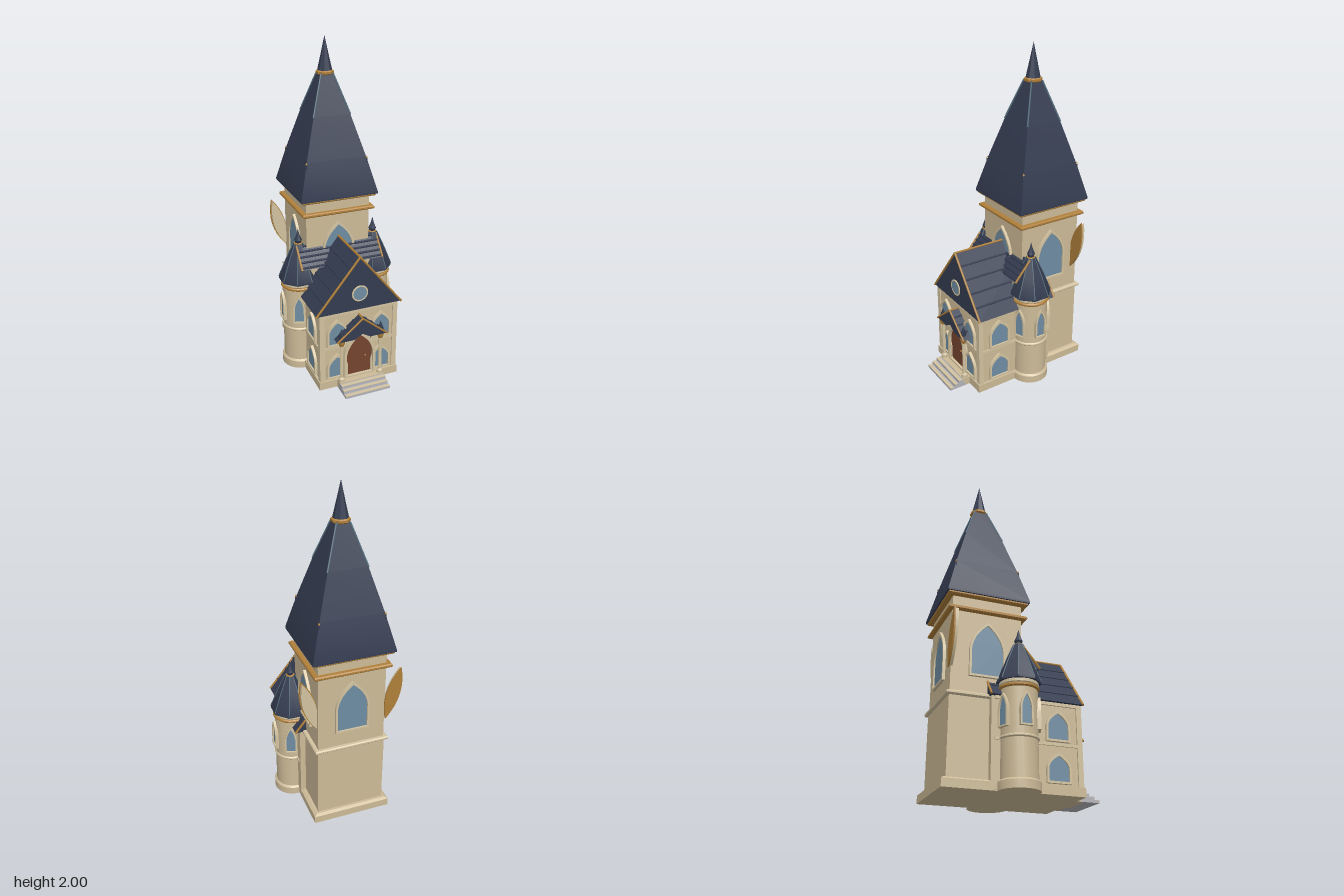
import * as THREE from 'three';
import { toCreasedNormals } from 'three/addons/utils/BufferGeometryUtils.js';

const mat = (name, color) => Object.assign(new THREE.MeshStandardMaterial({ color }), { name });
const wall = mat('sandstone', 0xcdbb98);
const trim = mat('pale stone trim', 0xd3c3a0);
const slate = mat('slate roof', 0x343c50);
const gold = mat('gold trim', 0xb0803a);
const glass = mat('window glass', 0x6f8da3);
const wood = mat('door wood', 0x74442f);
const lead = mat('lead hips', 0x58717f);
const grey = mat('grey stone', 0xb4b4ba);

const TZ = -0.217; // tower centre

function add(parent, name, geo, material, x = 0, y = 0, z = 0) {
  const m = new THREE.Mesh(geo, material);
  m.name = name;
  m.position.set(x, y, z);
  parent.add(m);
  return m;
}
const box = (p, name, m, w, h, d, x, y, z) => add(p, name, new THREE.BoxGeometry(w, h, d), m, x, y, z);

// n-sided turned solid; radii are measured to the flats, profile runs bottom to top
function turned(p, name, m, n, pts, x = 0, z = 0) {
  const k = n < 12 ? 1 / Math.cos(Math.PI / n) : 1;
  const g = new THREE.LatheGeometry(pts.map(([r, y]) => new THREE.Vector2(r * k, y)), n, Math.PI / n);
  return add(p, name, toCreasedNormals(g, 0.5), m, x, 0, z);
}
const ring = (r, y0, y1, b = 0.006) => [[0, y0], [r - b, y0], [r, y0 + b], [r, y1 - b], [r - b, y1], [0, y1]];

function beam(p, name, m, a, b, r) {
  const A = new THREE.Vector3(...a), B = new THREE.Vector3(...b), d = B.clone().sub(A);
  const g = new THREE.CylinderGeometry(r, r, d.length(), 6);
  const mesh = add(p, name, g, m);
  mesh.position.copy(A).add(B).multiplyScalar(0.5);
  mesh.quaternion.setFromUnitVectors(new THREE.Vector3(0, 1, 0), d.normalize());
  return mesh;
}

const polygon = (pts) => new THREE.Shape(pts.map(([x, y]) => new THREE.Vector2(x, y)));
const extrude = (shape, depth) => toCreasedNormals(
  new THREE.ExtrudeGeometry(shape, { depth, bevelEnabled: false, curveSegments: 8 }), 0.5);

// Pointed arch outline
function arch(w, h, y0 = 0, spring = h * 0.5) {
  const s = new THREE.Shape();
  s.moveTo(-w, y0);
  s.lineTo(w, y0);
  s.lineTo(w, spring);
  s.quadraticCurveTo(w * 0.9, spring + (h - spring) * 0.55, 0, h);
  s.quadraticCurveTo(-w * 0.9, spring + (h - spring) * 0.55, -w, spring);
  s.closePath();
  return s;
}

// Framed arched opening, facing angle a around y
function opening(p, name, x, y, z, a, w, h, t = 0.012, panel = glass, depth = 0.016) {
  const g = new THREE.Group();
  g.name = name;
  const inner = arch(w - t, h - 1.6 * t, t, h * 0.5);
  const frame = arch(w, h);
  frame.holes.push(inner);
  add(g, 'frame', extrude(frame, depth + 0.01), trim, 0, 0, -0.01);
  add(g, 'panel', extrude(inner, 0.007), panel);
  g.position.set(x, y, z);
  g.rotation.y = a;
  p.add(g);
  return g;
}

// Solid gable roof along z with battens, gold ridge and gold verges
function gableRoof(p, name, half, y0, y1, z0, z1, battens, r, notch = []) {
  const g = new THREE.Group();
  g.name = name;
  add(g, 'roofBody', extrude(polygon([[-half, y0], ...notch, [half, y0], [0, y1]]), z1 - z0), slate, 0, 0, z0);
  for (const s of [-1, 1]) {
    for (let i = 1; i <= battens; i++) {
      const t = i / (battens + 1), x = s * half * t, y = y1 + (y0 - y1) * t;
      beam(g, 'batten', slate, [x, y, z0], [x, y, z1], r * 0.9);
    }
    for (const z of [z0, z1]) beam(g, 'verge', gold, [0, y1, z], [s * half, y0, z], r);
  }
  beam(g, 'ridge', gold, [0, y1, z0], [0, y1, z1], r);
  p.add(g);
}

function buildTower(root) {
  const g = new THREE.Group();
  g.name = 'tower';
  turned(g, 'plinth', wall, 4, [[0, 0], [0.238, 0], [0.238, 0.045], [0.222, 0.055], [0, 0.055]], 0, TZ);
  turned(g, 'walls', wall, 4, [[0, 0.02], [0.207, 0.02], [0.207, 0.5], [0.203, 0.5], [0.203, 1.08], [0, 1.08]], 0, TZ);
  turned(g, 'stringCourse', trim, 4, ring(0.225, 0.488, 0.51), 0, TZ);
  turned(g, 'cornice', gold, 4, ring(0.23, 0.983, 1.005), 0, TZ);
  turned(g, 'eaveMoulding', gold, 4, ring(0.235, 1.07, 1.09), 0, TZ);
  turned(g, 'roof', slate, 4, [[0, 1.085], [0.243, 1.085], [0.243, 1.097], [0.187, 1.31], [0.115, 1.555], [0.036, 1.79]], 0, TZ);
  turned(g, 'spireRing', gold, 8, ring(0.05, 1.778, 1.802), 0, TZ);
  turned(g, 'spire', slate, 8, [[0, 1.795], [0.042, 1.795], [0.02, 1.9], [0, 2]], 0, TZ);
  // Windows on all four sides
  for (let i = 0; i < 4; i++) {
    const a = i * Math.PI / 2;
    opening(g, 'towerWindow', Math.sin(a) * 0.203, 0.605, TZ + Math.cos(a) * 0.203, a, 0.102, 0.325);
  }
  // Hips and corner pinnacles
  for (const sx of [-1, 1]) for (const sz of [-1, 1]) {
    beam(g, 'hip', lead, [sx * 0.038, 1.785, TZ + sz * 0.038], [sx * 0.116, 1.553, TZ + sz * 0.116], 0.005);
    const x = sx * 0.19, z = TZ + sz * 0.19;
    turned(g, 'pinnacle', slate, 6, [[0, 1.11], [0.016, 1.13], [0.024, 1.165], [0.014, 1.21], [0.004, 1.3]], x, z);
    turned(g, 'pinnacleTip', gold, 6, [[0, 1.295], [0.006, 1.302], [0, 1.315]], x, z);
  }
  // Leaf-shaped fins tilted out at the back corners
  for (const s of [-1, 1]) {
    const lens = (w, h) => {
      const l = new THREE.Shape();
      l.moveTo(0, -h);
      l.quadraticCurveTo(w * 2, 0, 0, h);
      l.quadraticCurveTo(-w * 2, 0, 0, -h);
      return extrude(l, 0.009);
    };
    const fin = new THREE.Group();
    fin.name = 'cornerFin';
    add(fin, 'finEdge', lens(0.043, 0.168), gold, 0, 0, s > 0 ? 0.006 : -0.015);
    const face = add(fin, 'finFace', lens(0.037, 0.158), trim, 0, 0, -0.012);
    face.scale.z = 2.6;
    fin.position.set(s * 0.247, 0.8, s > 0 ? -0.393 : -0.422);
    fin.rotation.z = -s * 0.26;
    g.add(fin);
  }
  root.add(g);
}

function buildTurret(root, s) {
  const g = new THREE.Group();
  g.name = s > 0 ? 'leftTurret' : 'rightTurret';
  const x = s * 0.245, z = -0.048;
  turned(g, 'base', wall, 24, [[0, 0], [0.115, 0], [0.115, 0.045], [0.105, 0.055], [0, 0.055]], x, z);
  turned(g, 'shaft', wall, 24, [[0, 0.02], [0.102, 0.02], [0.102, 0.58], [0, 0.58]], x, z);
  turned(g, 'band', trim, 24, ring(0.109, 0.262, 0.28), x, z);
  turned(g, 'cornice', gold, 24, ring(0.112, 0.535, 0.555), x, z);
  turned(g, 'eave', trim, 24, ring(0.108, 0.555, 0.582), x, z);
  turned(g, 'roof', slate, 8, [[0, 0.578], [0.114, 0.578], [0.114, 0.588], [0.072, 0.7], [0.026, 0.81], [0, 0.81]], x, z);
  turned(g, 'finialRing', gold, 8, ring(0.025, 0.803, 0.815, 0.003), x, z);
  turned(g, 'finial', slate, 8, [[0, 0.81], [0.014, 0.81], [0.022, 0.832], [0.01, 0.862], [0, 0.905]], x, z);
  for (let i = 0; i < 8; i++) {
    const a = (i + 0.5) * Math.PI / 4, at = (r, y) => [x + Math.sin(a) * r, y, z + Math.cos(a) * r];
    beam(g, 'hip', lead, at(0.123, 0.588), at(0.078, 0.7), 0.003);
    beam(g, 'hip', lead, at(0.078, 0.7), at(0.028, 0.81), 0.003);
  }
  for (const a of [0.35, Math.PI / 2, Math.PI - 0.35]) {
    opening(g, 'turretWindow', x + s * Math.sin(a) * 0.1, 0.32, z + Math.cos(a) * 0.1, s * a, 0.036, 0.185, 0.009);
  }
  root.add(g);
}

function buildHall(root) {
  const g = new THREE.Group();
  g.name = 'hall';
  box(g, 'plinth', wall, 0.51, 0.05, 0.42, 0, 0.025, 0.115);
  box(g, 'walls', wall, 0.48, 0.5, 0.51, 0, 0.255, 0.055);
  box(g, 'band', trim, 0.495, 0.016, 0.5, 0, 0.268, 0.068);
  box(g, 'wallTop', trim, 0.5, 0.02, 0.5, 0, 0.492, 0.068);
  for (const s of [-1, 1]) {
    box(g, 'cornerPier', trim, 0.03, 0.48, 0.03, s * 0.234, 0.25, 0.303);
    for (const [y, h] of [[0.06, 0.165], [0.282, 0.175]]) {
      opening(g, 'frontWindow', s * 0.14, y, 0.31, 0, 0.065, h);
      opening(g, 'sideWindow', s * 0.24, y, 0.175, s * Math.PI / 2, 0.07, h);
    }
  }
  gableRoof(g, 'hallRoof', 0.27, 0.5, 0.835, -0.21, 0.322, 4, 0.007);
  // Round gable window
  const rim = add(g, 'roundWindowFrame', new THREE.TorusGeometry(0.046, 0.006, 6, 20), trim, 0, 0.605, 0.324);
  rim.scale.z = 0.8;
  add(g, 'roundWindowGlass', new THREE.CylinderGeometry(0.046, 0.046, 0.008, 20), glass, 0, 0.605, 0.323).rotation.x = Math.PI / 2;
  // Lean-to roof between hall and tower
  box(g, 'leanToWall', wall, 0.46, 0.19, 0.06, 0, 0.59, 0.0);
  const lean = add(g, 'leanToRoof', extrude(polygon([[0.03, 0.8], [-0.07, 0.68], [-0.04, 0.67], [0.03, 0.67]]), 0.52), slate, -0.26);
  lean.rotation.y = Math.PI / 2;
  for (let i = 0; i < 5; i++) {
    const y = 0.69 + i * 0.026, z = 0.07 - (y - 0.68) * 0.83;
    beam(g, 'leanToBatten', slate, [-0.26, y, z], [0.26, y, z], 0.007);
  }
  for (const s of [-1, 1]) beam(g, 'leanToVerge', gold, [s * 0.262, 0.802, -0.03], [s * 0.262, 0.68, 0.072], 0.007);
  root.add(g);
}

function buildPorch(root) {
  const g = new THREE.Group();
  g.name = 'porch';
  gableRoof(g, 'porchRoof', 0.16, 0.33, 0.462, 0.295, 0.37, 3, 0.006, [[-0.05, 0.33], [0, 0.36], [0.05, 0.33]]);
  opening(g, 'door', 0, 0.045, 0.312, 0, 0.102, 0.315, 0.017, wood, 0.024);
  add(g, 'doorKnob', new THREE.SphereGeometry(0.006, 8, 6), gold, 0.04, 0.175, 0.322);
  box(g, 'porchFloor', wall, 0.286, 0.05, 0.07, 0, 0.025, 0.335);
  for (const s of [-1, 1]) {
    const x = s * 0.125, z = 0.35;
    turned(g, 'column', trim, 12, [[0, 0.05], [0.018, 0.05], [0.018, 0.07], [0.011, 0.08], [0.011, 0.3], [0, 0.3]], x, z);
    turned(g, 'capital', gold, 12, [[0, 0.295], [0.012, 0.295], [0.02, 0.315], [0.02, 0.332], [0, 0.332]], x, z);
    turned(g, 'porchPinnacle', slate, 8, [[0, 0.335], [0.014, 0.34], [0.017, 0.36], [0, 0.41]], x, z);
  }
  // Steps with pale treads
  for (let i = 0; i < 3; i++) {
    const h = 0.045 - i * 0.015, z1 = 0.4 + i * 0.03;
    box(g, 'step', grey, 0.286, h, z1 - 0.35, 0, h / 2, (z1 + 0.35) / 2);
    box(g, 'tread', trim, 0.286, 0.003, 0.02, 0, h + 0.001, z1 - 0.01);
  }
  root.add(g);
}

export function createModel() {
  const root = new THREE.Group();
  root.name = 'gothicTowerHouse';
  buildTower(root);
  buildTurret(root, 1);
  buildTurret(root, -1);
  buildHall(root);
  buildPorch(root);
  return root;
}
